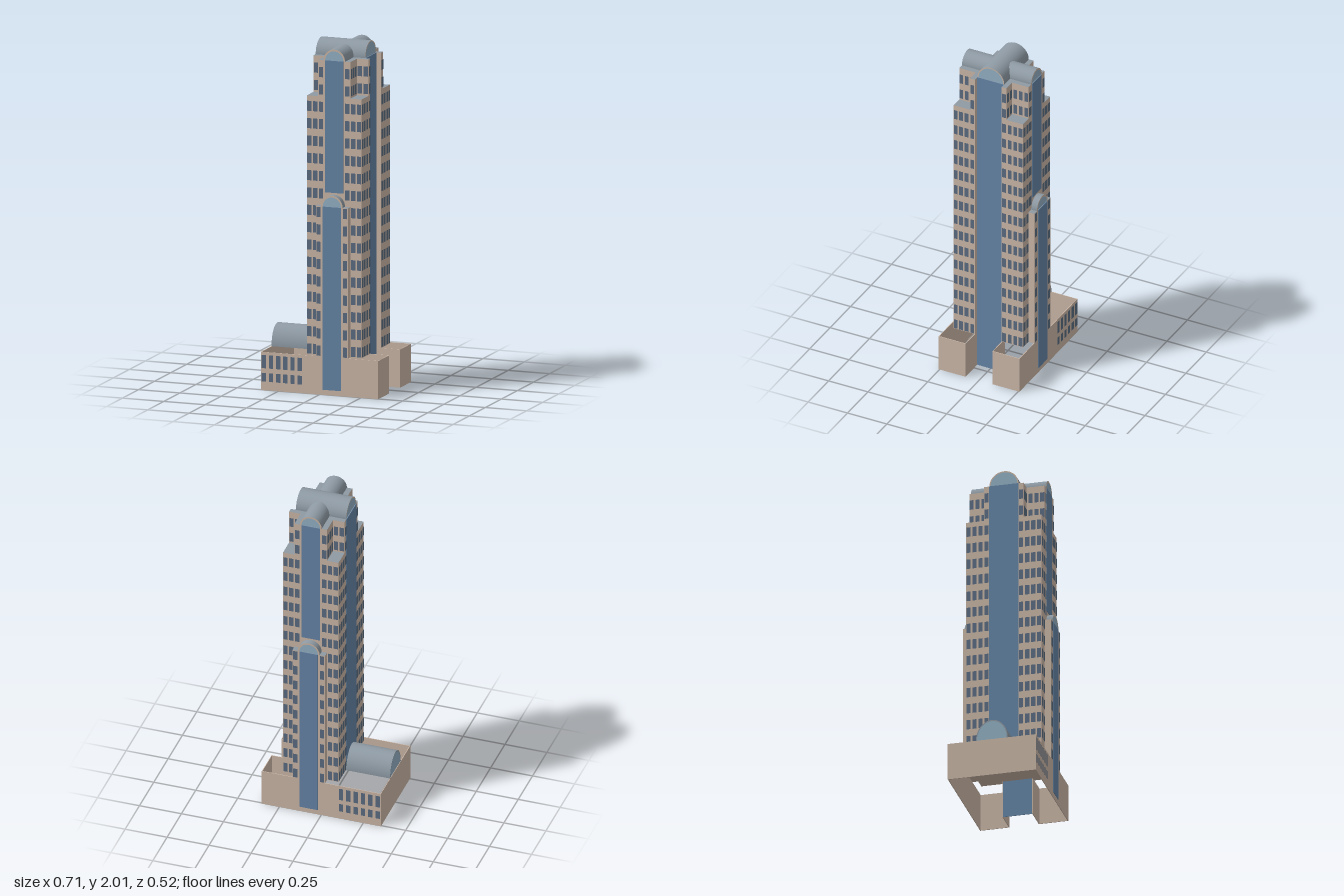
import * as THREE from 'three';
import { mergeGeometries } from 'three/addons/utils/BufferGeometryUtils.js';

const mat = (name, color, side = THREE.FrontSide) => {
  const m = new THREE.MeshStandardMaterial({ color, side });
  m.name = name;
  return m;
};

export function createModel() {
  const stone = mat('stone', 0xcdb9a9);
  const roof = mat('roofMetal', 0x8e9aa4, THREE.DoubleSide);
  const glass = mat('curtainGlass', 0x6686a8);
  const pane = mat('windowGlass', 0x5b6d84);
  const fan = mat('fanlightGlass', 0x94b2c6, THREE.DoubleSide);
  const roofed = [stone, stone, roof, stone, stone, stone];

  const model = new THREE.Group();
  model.name = 'tower';

  // Box given by its limits on each axis
  const box = (name, material, [x0, x1], [y0, y1], [z0, z1]) => {
    const m = new THREE.Mesh(new THREE.BoxGeometry(x1 - x0, y1 - y0, z1 - z0), material);
    m.position.set((x0 + x1) / 2, (y0 + y1) / 2, (z0 + z1) / 2);
    m.name = name;
    model.add(m);
  };

  // Half-round vault running back from a glazed end that faces +z
  const vault = (name, r, length, rim, rimMaterial, x, y, z, turn, rise = 1) => {
    const g = new THREE.Group();
    g.name = name;
    const shell = new THREE.CylinderGeometry(r, r, length, 40, 1, true, -Math.PI / 2, Math.PI);
    shell.rotateX(-Math.PI / 2).translate(0, 0, -length / 2);
    const parts = [
      ['vaultShell', shell, roof],
      ['fanlight', new THREE.CircleGeometry(r - rim / 2, 40, 0, Math.PI).translate(0, 0, -0.002), fan],
      ['archRim', new THREE.RingGeometry(r - rim, r, 40, 1, 0, Math.PI), rimMaterial],
    ];
    for (const [n, geo, m] of parts) {
      const mesh = new THREE.Mesh(geo, m);
      mesh.name = n;
      g.add(mesh);
    }
    g.scale.y = rise;
    g.rotation.y = turn;
    g.position.set(x, y, z);
    model.add(g);
  };

  // Main plan limits
  const cx = 0.075, W = -0.09, E = 0.24, core = 0.085, deep = 0.22, bayZ = 0.257;
  const arm = [cx - 0.097, cx + 0.097];
  const foot = 0.22, step = 1.71, eaves = 1.92, bayTop = 1.085;
  const span = (s, a, b) => (s > 0 ? [a, b] : [-b, -a]);

  // Central shaft with glazed ends
  box('core', roofed, [W, 0.21], [foot, eaves], [-core, core]);
  box('eastGlass', glass, [0.21, 0.213], [0, eaves], [-core, core]);
  box('westGlass', glass, [W - 0.003, W], [foot, eaves], [-core, core]);
  vault('eastVault', core, 0.15, 0.007, stone, 0.21, eaves, 0, Math.PI / 2);
  vault('westVault', core, 0.15, 0.007, stone, W, eaves, 0, -Math.PI / 2);

  for (const s of [1, -1]) {
    const turn = s > 0 ? 0 : Math.PI;
    // Stepped wings, the upper arms and the projecting bay
    box('wing', roofed, [W, E], [foot, step], span(s, core, deep));
    box('upperSideArm', roofed, [W, E], [step, eaves], span(s, core, 0.115));
    box('upperArm', roofed, arm, [step, eaves], span(s, 0.115, deep));
    box('bay', roofed, arm, [foot, bayTop], span(s, deep, bayZ));
    box('bayGlass', glass, [0.02, 0.13], [0.03, bayTop], span(s, bayZ, bayZ + 0.003));
    box('upperGlass', glass, [0.02, 0.13], [1.16, eaves], span(s, deep, deep + 0.003));
    vault('upperVault', 0.065, 0.2, 0.01, stone, cx, eaves, s * deep, turn);
    vault('bayVault', 0.065, 0.037, 0.01, stone, cx, bayTop, s * bayZ, turn);

    // Open podium walls with an entrance recess on the east
    box('podiumWall', stone, [-0.355, 0.355], [0, foot], span(s, bayZ - 0.004, bayZ));
    box('podiumEastWall', stone, [0.351, 0.355], [0, foot], span(s, core, bayZ));
    box('recessWall', stone, [0.21, 0.355], [0, foot], span(s, core, core + 0.004));
  }
  box('podiumWestWall', stone, [-0.355, -0.351], [0, foot], [-bayZ, bayZ]);
  vault('podiumVault', 0.093, 0.265, 0.006, roof, -0.354, foot, 0, -Math.PI / 2, 1.29);

  // Window panes, gathered into one mesh for each area
  let panes = [];
  const paneZ = (x, y, z, s, h) => panes.push(new THREE.PlaneGeometry(0.026, h)
    .rotateY(s > 0 ? 0 : Math.PI).translate(x, y, s * (z + 0.002)));
  const paneX = (x, y, z, s) => panes.push(new THREE.PlaneGeometry(0.024, 0.058)
    .rotateY(s * Math.PI / 2).translate(x + s * 0.002, y, z));
  const flush = (name) => {
    const m = new THREE.Mesh(mergeGeometries(panes), pane);
    m.name = name;
    model.add(m);
    panes = [];
  };

  for (let row = 0; row < 17; row++) {
    const y = 1.85 - 0.0998 * row, top = row < 2;
    for (const s of [1, -1]) for (const t of [1, -1]) {
      // Front and back faces
      paneZ(cx + t * 0.08, y, y < bayTop ? bayZ : deep, s, 0.058);
      for (const d of [0.115, 0.15]) paneZ(cx + t * d, y, top ? 0.115 : deep, s, 0.058);
      // East and west faces
      const outer = t > 0 ? E : W;
      paneX(outer, y, s * 0.101, t);
      for (const d of [0.137, 0.172, 0.206]) paneX(top ? cx + t * 0.097 : outer, y, s * d, t);
    }
  }
  flush('towerWindows');

  for (const s of [1, -1]) for (let i = 0; i < 6; i++) {
    const x = -0.336 + i * 0.0435;
    paneZ(x, 0.165, bayZ, s, 0.076);
    paneZ(x, 0.075, bayZ, s, 0.05);
  }
  flush('podiumWindows');

  return model;
}
